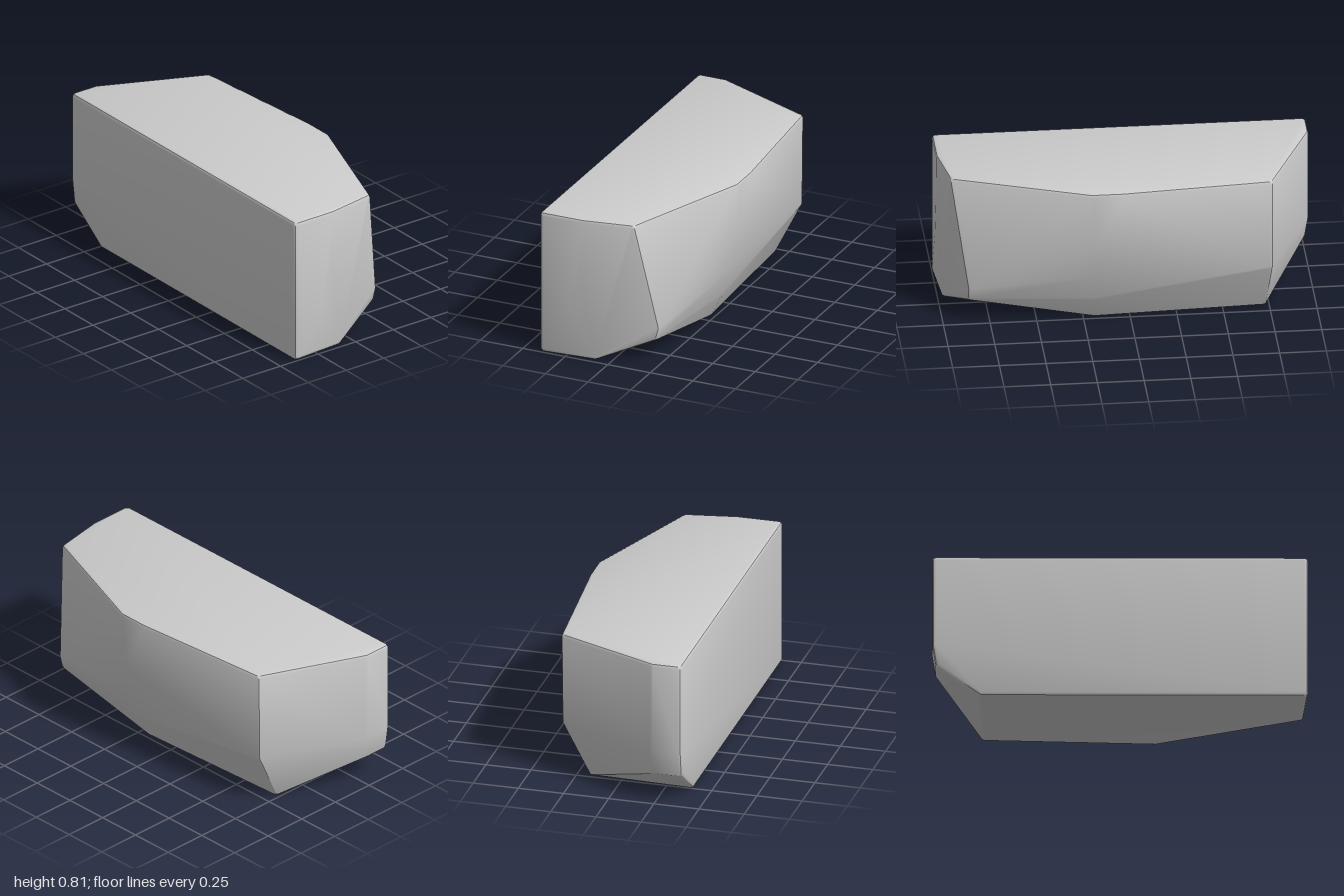
import * as THREE from 'three';
import { ConvexGeometry } from 'three/addons/geometries/ConvexGeometry.js';
import { toCreasedNormals } from 'three/addons/utils/BufferGeometryUtils.js';

const RADIUS = 0.018; // softened edge radius
const HEIGHT = 0.815;

// Hull around a small ball at every corner, which rounds all the edges.
function roundedHull(corners) {
  const ball = new THREE.OctahedronGeometry(RADIUS, 1).getAttribute('position');
  const points = [];
  for (const [x, y, z] of corners) {
    const c = new THREE.Vector3(
      THREE.MathUtils.clamp(x, -1 + RADIUS, 1 - RADIUS),
      THREE.MathUtils.clamp(y, RADIUS, HEIGHT - RADIUS),
      THREE.MathUtils.clamp(z, -0.4 + RADIUS, 0.4 - RADIUS));
    const seen = new Set();
    for (let i = 0; i < ball.count; i++) {
      const p = new THREE.Vector3().fromBufferAttribute(ball, i);
      const key = p.toArray().map(v => Math.round(v * 1e4)).join();
      if (seen.has(key)) continue;
      seen.add(key);
      points.push(p.add(c));
    }
  }
  return new ConvexGeometry(points);
}

export function createModel() {
  const group = new THREE.Group();
  group.name = 'cutStone';

  const top = [
    [-1, 0.4], [-1, 0.24], [-0.74, -0.315], [0.05, -0.4],
    [0.22, -0.4], [0.935, -0.12], [1, 0.15], [1, 0.4],
  ].map(([x, z]) => [x, HEIGHT, z]);

  const bottom = [
    [-0.74, 0.4], [-0.72, -0.17], [0.19, -0.215], [0.96, 0.09], [0.98, 0.4],
  ].map(([x, z]) => [x, 0, z]);

  // Bowed ridge down the back
  const ridge = [[0.5, -0.372], [0.3, -0.335], [0.15, -0.285]]
    .map(([y, z]) => [0.19, y, z]);

  // Clipped lower corner on the -x end
  const clippedEnd = [
    [-1, 0.3, 0.4], [-0.965, 0.18, 0.4],
    [-1, 0.3, 0.24], [-0.965, 0.18, 0.26],
    [-0.74, 0.3, -0.31],
  ];

  // Bulging corner and curved facet on the +x end
  const bulgingEnd = [
    [0.85, 0.2, -0.22], [0.85, 0.14, -0.205],
    [1, 0.5, 0.17], [1, 0.3, 0.22], [1, 0.07, 0.36], [1, 0.02, 0.4],
  ];

  const geometry = toCreasedNormals(
    roundedHull([...top, ...bottom, ...ridge, ...clippedEnd, ...bulgingEnd]), 0.5);
  const stone = new THREE.Mesh(geometry, new THREE.MeshStandardMaterial({ color: 0xcccccc }));
  stone.name = 'stoneBlock';
  group.add(stone);
  return group;
}
